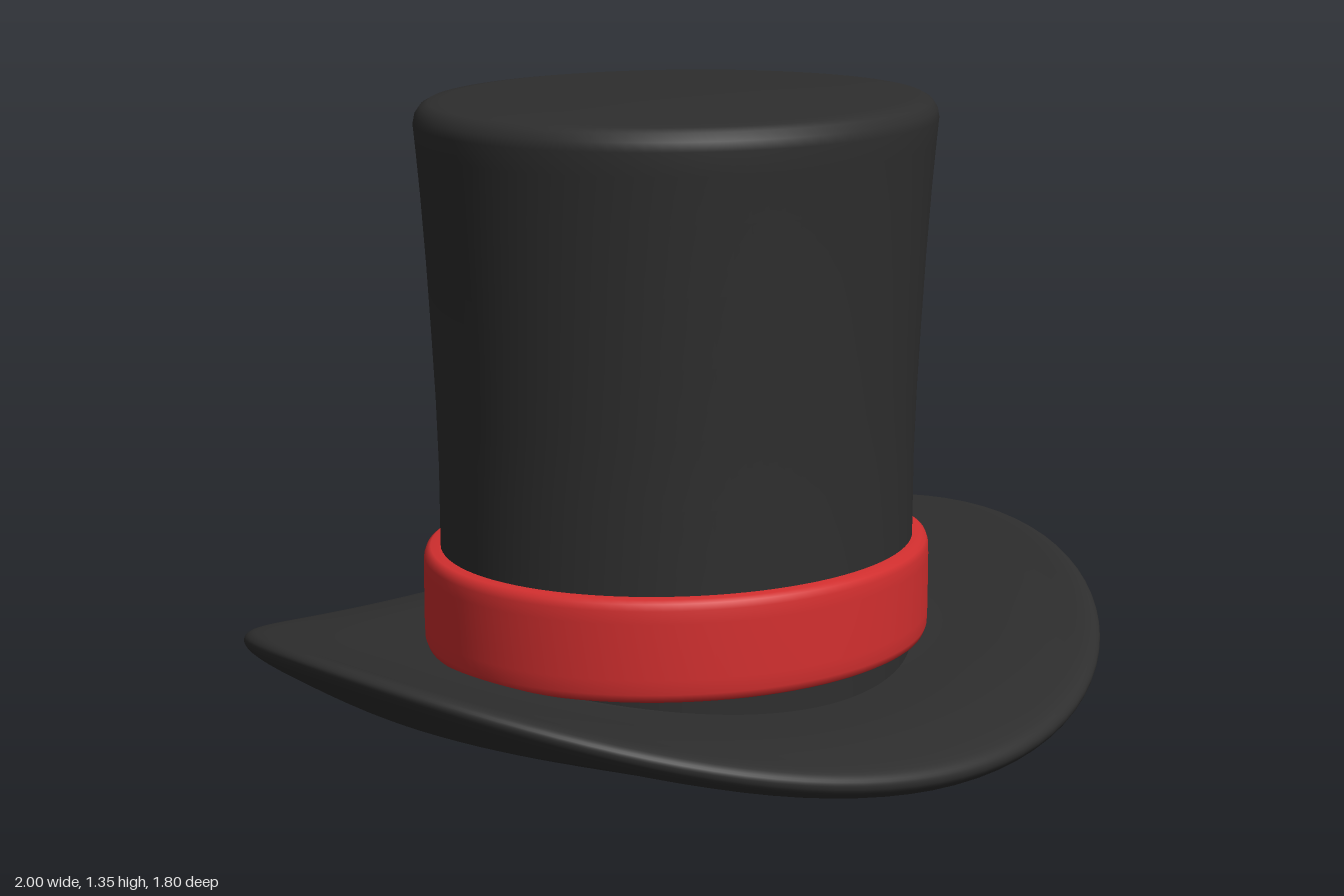
import * as THREE from 'three';
import { mergeVertices } from 'three/addons/utils/BufferGeometryUtils.js';

const SEGMENTS = 96;
const DEPTH = 0.9; // every part is an ellipse, narrower front to back

// Turns [radius, height, saddle] points into an oval; saddle lifts the sides and drops front and back.
function ovalLathe(points) {
  const profile = points.map(([r, y]) => new THREE.Vector2(r, y));
  const geometry = new THREE.LatheGeometry(profile, SEGMENTS);
  const pos = geometry.attributes.position;
  for (let i = 0; i < pos.count; i++) {
    const saddle = points[i % points.length][2] || 0;
    const angle = Math.atan2(pos.getZ(i), pos.getX(i));
    pos.setY(i, pos.getY(i) + saddle * Math.cos(2 * angle));
    pos.setZ(i, pos.getZ(i) * DEPTH);
  }
  geometry.deleteAttribute('uv');
  geometry.deleteAttribute('normal');
  const smooth = mergeVertices(geometry, 1e-5);
  smooth.computeVertexNormals();
  return smooth;
}

// Smooth curve through profile points
function curved(points, count) {
  const curve = new THREE.CatmullRomCurve3(points.map((p) => new THREE.Vector3(...p)), false, 'centripetal');
  return curve.getPoints(count).map((p) => [Math.max(p.x, 0), p.y, p.z]);
}

export function createModel() {
  const felt = new THREE.MeshStandardMaterial({ color: 0x2e2e2e });
  felt.name = 'black felt';
  const ribbon = new THREE.MeshStandardMaterial({ color: 0xd32f2f });
  ribbon.name = 'red ribbon';

  const hat = new THREE.Group();
  hat.name = 'topHat';
  const add = (name, geometry, material) => {
    const mesh = new THREE.Mesh(geometry, material);
    mesh.name = name;
    hat.add(mesh);
  };

  // Crown: flares gently towards a rounded top edge
  add('crown', ovalLathe([
    [0.55, 0.05], [0.55, 0.2], [0.55, 0.37], [0.551, 0.55], [0.556, 0.7], [0.564, 0.85],
    [0.573, 1.0], [0.584, 1.15], [0.593, 1.25], [0.598, 1.3], [0.594, 1.32], [0.582, 1.337],
    [0.565, 1.346], [0.53, 1.35], [0.4, 1.353], [0.2, 1.356], [0, 1.357],
  ]), felt);

  // Band: ring with softened edges
  add('band', ovalLathe([
    [0.54, 0.148], [0.572, 0.148], [0.582, 0.153], [0.588, 0.168], [0.589, 0.2], [0.589, 0.32],
    [0.588, 0.348], [0.583, 0.362], [0.573, 0.369], [0.54, 0.37],
  ]), ribbon);

  // Brim: closed underside, tapering outwards, curled up at both sides
  add('brim', ovalLathe(curved([
    [0, 0.032, 0], [0.35, 0.032, 0], [0.6, 0.032, 0.002], [0.7, 0.045, 0.02],
    [0.8, 0.061, 0.044], [0.9, 0.088, 0.079], [0.965, 0.112, 0.105], [0.995, 0.138, 0.11],
    [0.998, 0.155, 0.11], [0.98, 0.169, 0.106], [0.9, 0.164, 0.083], [0.8, 0.153, 0.06],
    [0.7, 0.139, 0.043], [0.58, 0.125, 0.032], [0.5, 0.12, 0.03],
  ], 60)), felt);

  return hat;
}
